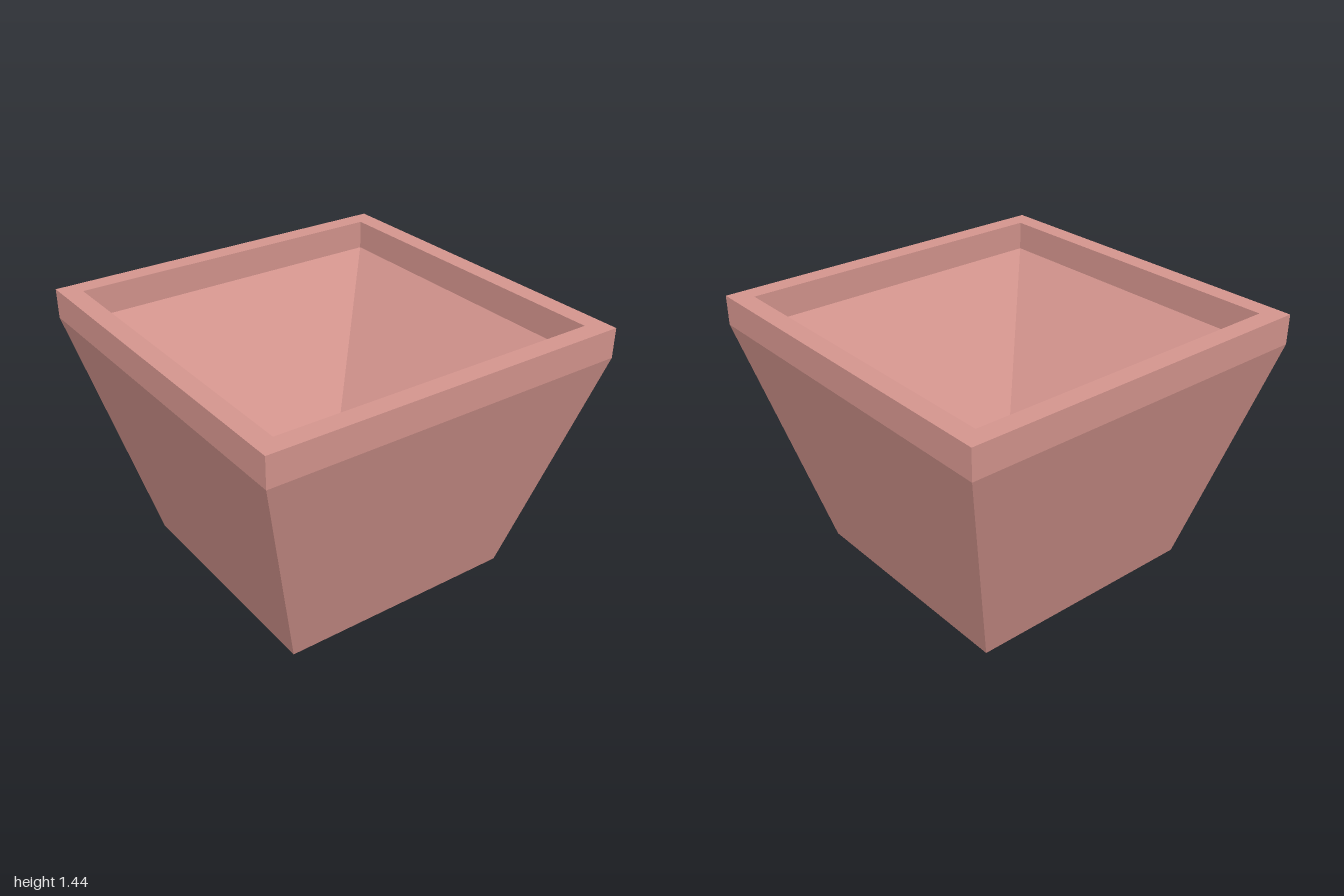
import * as THREE from 'three';

// Square-sided shell: a four-segment lathe turned so its faces align with x and z.
// Each profile point is [half width, height].
function squareShell(name, profile, material) {
  const points = profile.map(([half, y]) => new THREE.Vector2(half * Math.SQRT2, y));
  const geometry = new THREE.LatheGeometry(points, 4, Math.PI / 4).toNonIndexed();
  geometry.computeVertexNormals();
  const mesh = new THREE.Mesh(geometry, material);
  mesh.name = name;
  return mesh;
}

export function createModel() {
  const clay = new THREE.MeshStandardMaterial({ color: 0xd6968f, flatShading: true });
  clay.name = 'terracotta';

  const top = 1.44, lip = 1.28, inner = 0.895;
  const planter = new THREE.Group();
  planter.name = 'planter';
  planter.add(
    // Flat base and tapered outer walls
    squareShell('body', [[0, 0], [0.667, 0], [1, lip]], clay),
    // Upright rim: outside, top face, inside
    squareShell('rim', [[1, lip], [1, top], [inner, top], [inner, lip]], clay),
    // Inner walls narrowing to a point just above the base
    squareShell('hollow', [[inner, lip], [0, 0.01]], clay),
  );
  return planter;
}
